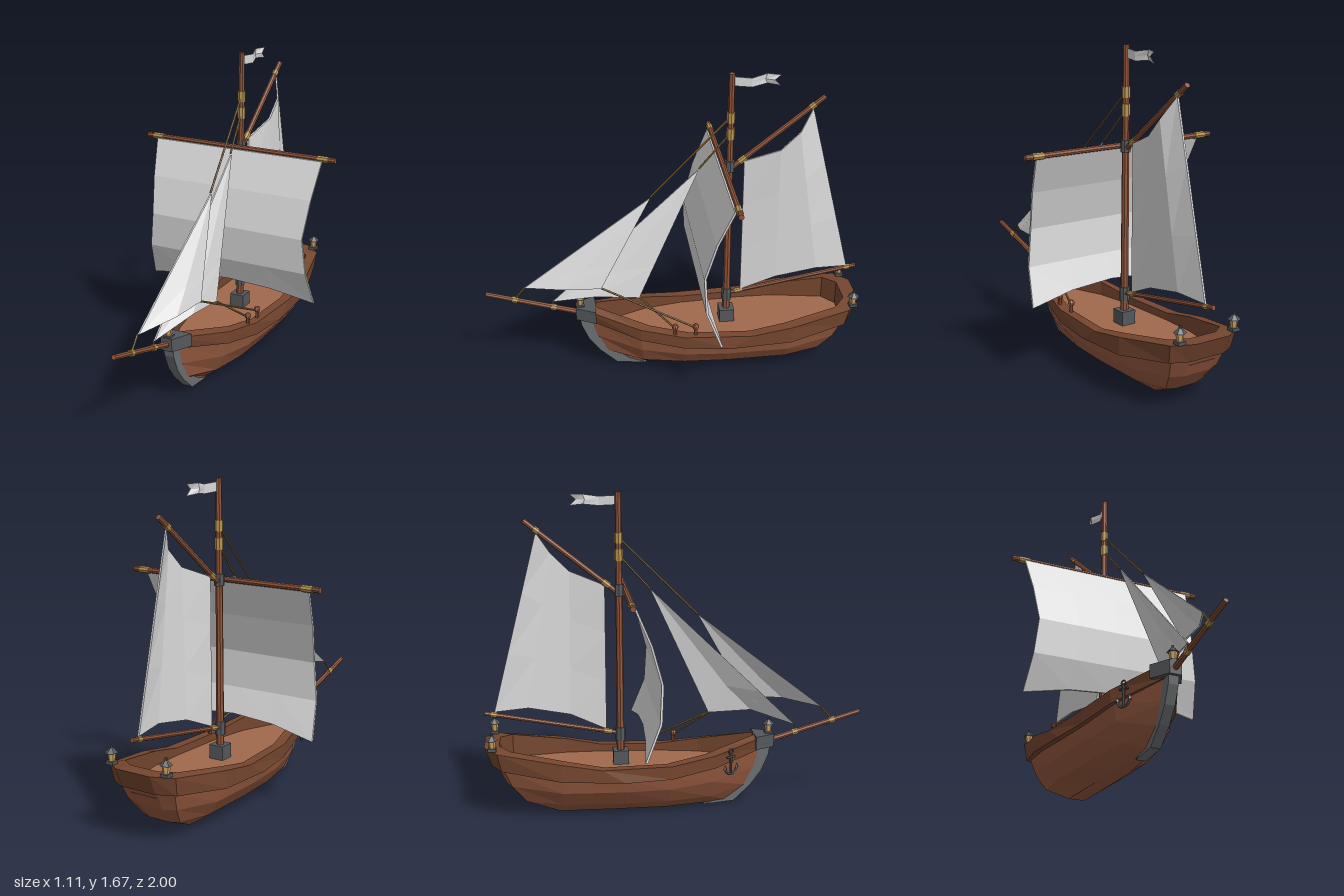
import * as THREE from 'three';

const mat = (name, color, side = THREE.FrontSide) => {
  const m = new THREE.MeshStandardMaterial({ color, side });
  m.name = name;
  return m;
};

export function createModel() {
  const model = new THREE.Group();
  model.name = 'sailingShip';
  const hullWood = mat('hull wood', 0x95593f);
  const deckWood = mat('deck wood', 0xa0684c);
  const railWood = mat('rail wood', 0x75462f);
  const sparWood = mat('spar wood', 0x905439);
  const cloth = mat('sail cloth', 0xdadada, THREE.DoubleSide);
  const iron = mat('iron', 0x55585b);
  const stemGrey = mat('stem grey', 0x6b6f71);
  const gold = mat('binding', 0xb8934f);
  const rope = mat('rope', 0x8d6c38);
  const glow = mat('lantern glass', 0xd0a560);

  const V = (x, y, z) => new THREE.Vector3(x, y, z);

  // Faceted mesh: every face gets its own normal
  function add(name, geo, material, parent = model) {
    const g = geo.index ? geo.toNonIndexed() : geo;
    g.computeVertexNormals();
    const m = new THREE.Mesh(g, material);
    m.name = name;
    parent.add(m);
    return m;
  }

  // Surface through rows of points, each row optionally closed into a ring
  function loft(rows, closed) {
    const pos = [], n = rows[0].length;
    for (let i = 0; i < rows.length - 1; i++) {
      for (let j = 0; j < (closed ? n : n - 1); j++) {
        const k = (j + 1) % n;
        const a = rows[i][j], b = rows[i][k], c = rows[i + 1][k], d = rows[i + 1][j];
        for (const p of [a, d, c, a, c, b]) pos.push(p.x, p.y, p.z);
      }
    }
    const g = new THREE.BufferGeometry();
    g.setAttribute('position', new THREE.Float32BufferAttribute(pos, 3));
    return g;
  }

  // Round bar between two points
  function bar(name, a, b, r0, material, r1 = r0, sides = 8, parent = model) {
    const d = b.clone().sub(a);
    const m = add(name, new THREE.CylinderGeometry(r1, r0, d.length(), sides), material, parent);
    m.position.copy(a).addScaledVector(d, 0.5);
    m.quaternion.setFromUnitVectors(V(0, 1, 0), d.normalize());
    return m;
  }
  const band = (name, a, b, t0, t1, r, material = gold) =>
    bar(name, a.clone().lerp(b, t0), a.clone().lerp(b, t1), r, material);

  // Thin cloth with a little thickness
  function sheet(name, rows, off) {
    const ring = (r, o) => [...r, ...r.map(p => p.clone().add(o)).reverse()];
    const none = V(0, 0, 0), last = rows[rows.length - 1];
    add(name, loft([ring(rows[0], none), ...rows.map(r => ring(r, off)), ring(last, none)], true), cloth);
  }

  // ---- Hull: half outlines from stern to bow, mirrored into rings
  const half = a => a.map(p => V(...p));
  const mirror = h => h.map(p => V(-p.x, p.y, p.z));
  const ring = h => [...h, ...mirror(h).reverse()];
  const keel = half([[.03, .02, -.66], [.04, 0, -.62], [.045, 0, -.58], [.045, 0, -.28], [.04, 0, -.05], [.025, .01, .15], [.018, .02, .27]]);
  const bilge = half([[.06, .085, -.81], [.11, .085, -.79], [.145, .07, -.6], [.145, .065, -.28], [.135, .065, -.05], [.1, .07, .17], [.018, .1, .38]]);
  const waist = half([[.08, .18, -.89], [.145, .18, -.86], [.2, .15, -.6], [.2, .145, -.28], [.185, .145, -.05], [.145, .165, .18], [.018, .2, .43]]);
  const wale = half([[.09, .28, -.935], [.165, .275, -.9], [.218, .235, -.6], [.218, .215, -.28], [.2, .218, -.05], [.158, .25, .19], [.02, .31, .46]]);
  add('hull', loft([keel, bilge, waist, wale].map(ring), true), hullWood);
  add('keelBottom', loft([mirror(keel), keel], false), hullWood);
  add('transomBottom', loft([[keel[0], mirror(keel)[0]], [keel[1], mirror(keel)[1]]], false), hullWood);

  // Bulwark band around the top of the hull
  const railLow = half([[.1, .28, -.96], [.185, .275, -.91], [.255, .23, -.61], [.255, .212, -.28], [.228, .215, -.04], [.178, .25, .19], [.025, .31, .48]]);
  const railTop = half([[.1, .38, -1], [.195, .37, -.93], [.255, .322, -.61], [.255, .285, -.4], [.23, .285, -.04], [.182, .318, .19], [.03, .38, .505]]);
  const inner = railTop.map(p => V(p.x * .79, p.y, -.3 + (p.z + .3) * .89));
  const deck = inner.map(p => V(p.x, .245, p.z));
  add('bulwark', loft([wale, railLow, railTop, inner, deck].map(ring), true), railWood);
  add('deck', loft([deck, mirror(deck)], false), deckWood);

  // Stem post and bow cap
  const shape = pts => new THREE.Shape(pts.map(p => new THREE.Vector2(...p)));
  const stem = new THREE.ExtrudeGeometry(shape([[.512, .36], [.498, .27], [.46, .18], [.4, .1], [.31, .015], [.15, 0], [.24, .035], [.33, .1], [.38, .17], [.43, .25], [.43, .36]]), { depth: .054, bevelEnabled: false });
  stem.translate(0, 0, -.027).rotateY(-Math.PI / 2);
  add('stemPost', stem, stemGrey);
  const cap = new THREE.ExtrudeGeometry(shape([[-.085, -.42], [-.032, -.525], [.032, -.525], [.085, -.42]]), { depth: .07, bevelEnabled: false });
  cap.rotateX(-Math.PI / 2).translate(0, .312, 0);
  add('bowCap', cap, iron);

  // ---- Mast and spars
  const MZ = -.292;
  const mastA = V(0, .24, MZ), mastB = V(0, 1.67, MZ);
  bar('mast', mastA, mastB, .021, sparWood, .016);
  add('mastStep', new THREE.BoxGeometry(.08, .075, .08), iron).position.set(0, .28, MZ);
  const collar = (y0, y1, r, m) => bar('mastCollar', V(0, y0, MZ), V(0, y1, MZ), r, m);
  collar(.37, .44, .027, iron);
  collar(1.14, 1.2, .026, iron);
  collar(1.32, 1.38, .022, gold);
  collar(1.41, 1.465, .022, gold);

  const yardL = V(-.555, 1.168, -.26), yardR = V(.555, 1.168, -.26);
  bar('yard', yardL, yardR, .0145, sparWood);
  band('yardBinding', yardL, yardR, .035, .088, .018);
  band('yardBinding', yardL, yardR, .912, .965, .018);

  const gaffA = V(0, 1.165, -.31), gaffB = V(0, 1.53, -.77);
  bar('gaff', gaffA, gaffB, .014, sparWood);
  band('gaffBinding', gaffA, gaffB, .07, .14, .017);
  band('gaffBinding', gaffA, gaffB, .84, .89, .017);

  const boomA = V(0, .41, -.31), boomB = V(0, .535, -.997);
  bar('boom', boomA, boomB, .012, sparWood);
  band('boomBinding', boomA, boomB, .04, .1, .015);
  band('boomBinding', boomA, boomB, .91, .95, .015);

  const spritA = V(0, .325, .45), spritB = V(0, .487, .997);
  bar('bowsprit', spritA, spritB, .016, sparWood, .013);
  band('bowspritBinding', spritA, spritB, .33, .38, .018);
  band('bowspritBinding', spritA, spritB, .7, .75, .018);

  // ---- Square sail, bellied forward
  const profile = [[1.16, -.24, .487], [.97, -.16, .465], [.77, -.105, .445], [.58, -.115, .465], [.39, -.19, .487]];
  sheet('squareSail', profile.map(([y, z, w], i) => [-1, -.5, 0, .5, 1].map(u =>
    V(u * w, y + (i === 4 ? .06 * (1 - u * u) : 0), z + (i === 4 ? .028 * (1 - u * u) : 0)))), V(0, 0, -.012));

  // Gaff sail behind the mast
  const head = [[-.365, 1.195], [-.545, 1.265], [-.64, 1.36], [-.71, 1.47]];
  const foot = [[-.365, .43], [-.55, .51], [-.77, .55], [-.945, .54]];
  const belly = [0, .04, .045, 0];
  sheet('gaffSail', [0, .33, .67, 1].map(v => head.map(([z, y], i) =>
    V(belly[i] * (1 - .5 * v), y + (foot[i][1] - y) * v, z + (foot[i][0] - z) * v))), V(.01, 0, 0));

  // ---- Jibs with halyards, tack lines, sheets and cleats
  function jib(name, top, tack, clew, lift, mastY, spritT, pin) {
    sheet(name, [.01, .4, .75, 1].map(v => [0, .5, 1].map(u => {
      const p = top.clone().lerp(tack.clone().lerp(clew, u), v);
      p.x += .035 * Math.sin(Math.PI * u) * v;
      if (v === 1) p.y += lift * Math.sin(Math.PI * u);
      return p;
    })), V(.008, 0, 0));
    const line = (n, a, b) => bar(n, a, b, .0055, rope, .0055, 6);
    line('halyard', V(0, mastY, MZ), top);
    line('tackLine', tack, spritA.clone().lerp(spritB, spritT));
    line('sheetRope', clew, pin);
    bar('cleatPost', V(pin.x, pin.y - .045, pin.z), pin, .01, sparWood);
    add('cleatKnob', new THREE.SphereGeometry(.018, 8, 5), sparWood).position.copy(pin).add(V(0, .008, 0));
  }
  jib('outerJib', V(.035, 1.03, .12), V(0, .515, .79), V(.118, .555, .39), .012, 1.44, .725, V(.2, .325, -.1));
  jib('innerJib', V(.02, 1.17, -.13), V(0, .42, .645), V(.1, .475, .19), .04, 1.35, .36, V(.2, .33, .01));

  // ---- Swallowtail pennant
  const waveX = [0, .014, -.008, .012];
  const flagTop = [[-.305, 1.652], [-.39, 1.647], [-.47, 1.66], [-.535, 1.658]];
  const flagMid = [[-.305, 1.63], [-.39, 1.623], [-.46, 1.632], [-.505, 1.632]];
  const flagLow = [[-.305, 1.605], [-.39, 1.6], [-.47, 1.61], [-.535, 1.602]];
  sheet('pennant', [flagTop, flagMid, flagLow].map(r => r.map(([z, y], i) => V(waveX[i], y, z))), V(.004, 0, 0));

  // ---- Lanterns at bow and stern
  for (const [x, y, z] of [[0, .38, .5], [.16, .385, -.955], [-.16, .385, -.955]]) {
    const g = new THREE.Group();
    g.name = 'lantern';
    g.position.set(x, y, z);
    model.add(g);
    add('lanternFoot', new THREE.BoxGeometry(.042, .016, .042), iron, g).position.y = .002;
    add('lanternGlass', new THREE.CylinderGeometry(.022, .015, .045, 6), glow, g).position.y = .03;
    add('lanternRoof', new THREE.CylinderGeometry(.008, .032, .024, 6), iron, g).position.y = .062;
    add('lanternTip', new THREE.CylinderGeometry(.006, .006, .014, 6), iron, g).position.y = .079;
  }

  // ---- Anchor hung on the right bow
  const anchor = new THREE.Group();
  anchor.name = 'anchor';
  anchor.position.set(-.15, .26, .275);
  anchor.rotation.y = -1.1;
  model.add(anchor);
  bar('anchorShank', V(0, -.05, 0), V(0, .06, 0), .007, iron, .007, 6, anchor);
  bar('anchorStock', V(-.026, .04, 0), V(.026, .04, 0), .006, iron, .006, 6, anchor);
  add('anchorRing', new THREE.TorusGeometry(.013, .004, 5, 10), iron, anchor).position.y = .07;
  add('anchorArms', new THREE.TorusGeometry(.037, .007, 5, 8, Math.PI).rotateZ(Math.PI), iron, anchor).position.y = -.015;
  for (const s of [-1, 1])
    add('anchorFluke', new THREE.ConeGeometry(.013, .026, 4), iron, anchor).position.set(s * .037, -.008, 0);

  return model;
}
